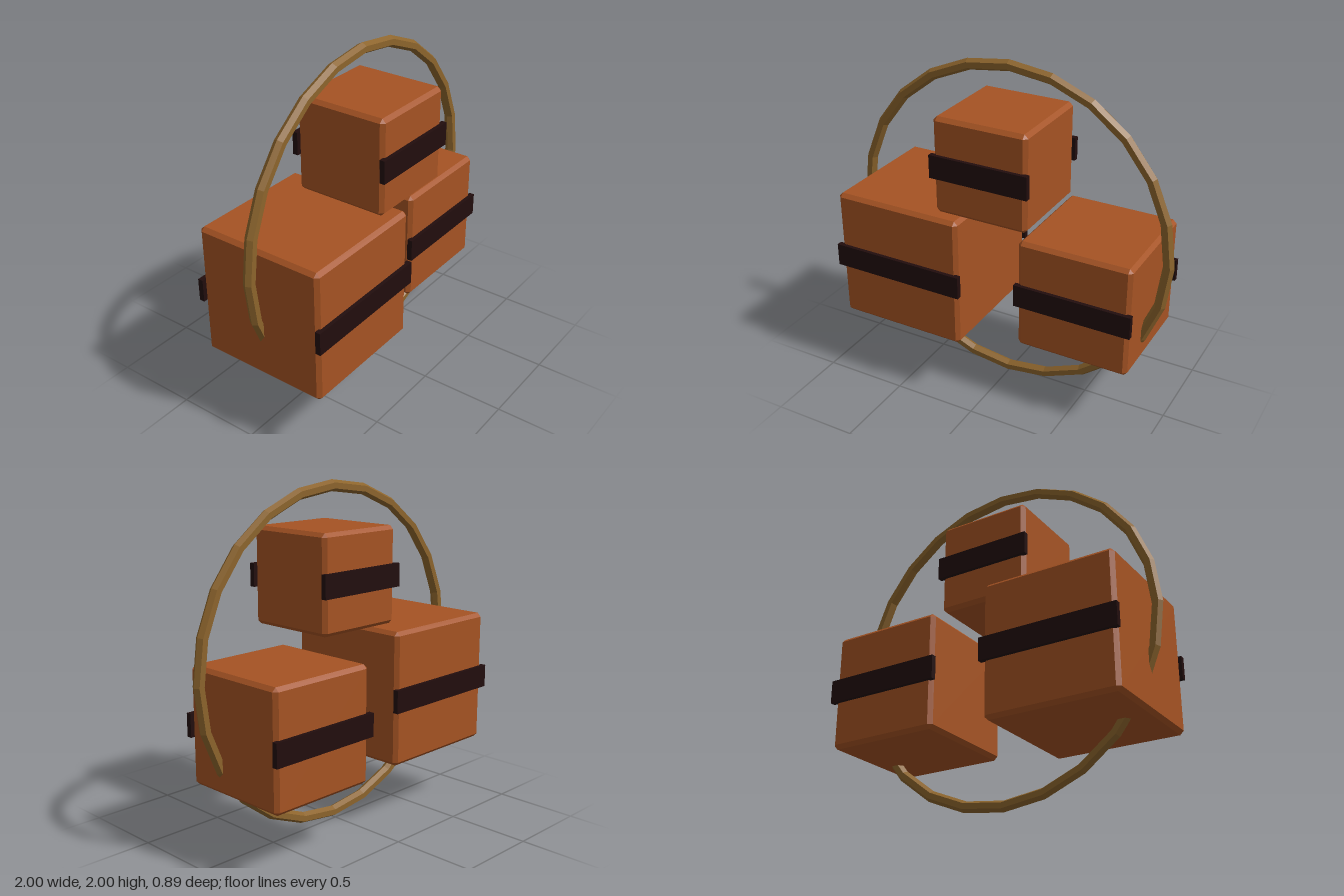
import * as THREE from 'three';
import { ConvexGeometry } from 'three/addons/geometries/ConvexGeometry.js';

const wood = new THREE.MeshStandardMaterial({ color: 0xa55323 });
wood.name = 'reddish wood';
const strapDark = new THREE.MeshStandardMaterial({ color: 0x210d0d });
strapDark.name = 'dark strap';
const bronze = new THREE.MeshStandardMaterial({ color: 0x8c642c });
bronze.name = 'aged bronze';

// Cube with a single flat bevel along every edge
function bevelledCube(size, bevel) {
  const h = size / 2, i = h - bevel, points = [];
  for (const x of [-1, 1]) for (const y of [-1, 1]) for (const z of [-1, 1]) {
    points.push(
      new THREE.Vector3(x * h, y * i, z * i),
      new THREE.Vector3(x * i, y * h, z * i),
      new THREE.Vector3(x * i, y * i, z * h));
  }
  return new ConvexGeometry(points);
}

function addMesh(parent, name, geometry, material, x = 0, y = 0, z = 0) {
  const mesh = new THREE.Mesh(geometry, material);
  mesh.name = name;
  mesh.position.set(x, y, z);
  parent.add(mesh);
}

// Crate with one strap across the front and one across the back
function makeCrate(name, size, x, y, z) {
  const crate = new THREE.Group();
  crate.name = name;
  crate.position.set(x, y, z);
  addMesh(crate, 'crateBody', bevelledCube(size, 0.022), wood);
  const strap = new THREE.BoxGeometry(size + 0.03, 0.135, 0.032);
  addMesh(crate, 'frontStrap', strap, strapDark, 0, 0, size / 2 + 0.006);
  addMesh(crate, 'backStrap', strap, strapDark, 0, 0, -size / 2 - 0.006);
  return crate;
}

export function createModel() {
  const model = new THREE.Group();
  model.name = 'crateStackWithHoop';

  model.add(
    makeCrate('largeCrate', 0.79, -0.513, 0.775, 0.027),
    makeCrate('mediumCrate', 0.677, 0.51, 0.719, -0.085),
    makeCrate('smallCrate', 0.564, 0, 1.46, 0.083));

  // Faceted hoop passing through the stack
  const hoop = new THREE.TorusGeometry(0.967, 0.033, 6, 24).toNonIndexed();
  hoop.computeVertexNormals();
  addMesh(model, 'hoop', hoop, bronze, 0, 1, 0.027);

  return model;
}
